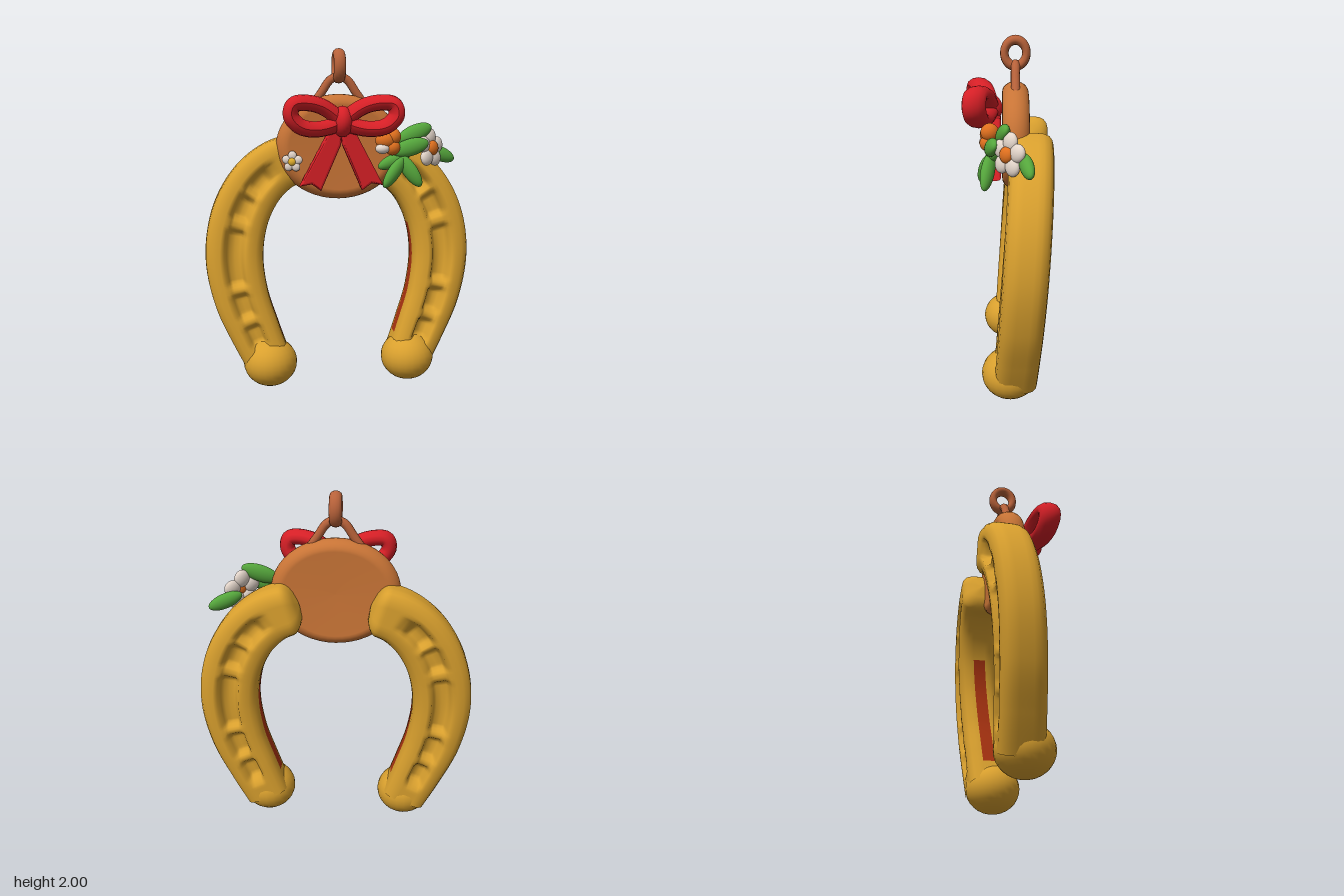
import * as THREE from 'three';

const mat = (name, color, side = THREE.FrontSide) => {
  const m = new THREE.MeshStandardMaterial({ color, side });
  m.name = name;
  return m;
};
const V = (x, y, z = 0) => new THREE.Vector3(x, y, z);

export function createModel() {
  const model = new THREE.Group();
  model.name = 'horseshoeOrnament';
  const gold = mat('gold', 0xd9a02e);
  const inlay = mat('inlayRed', 0xa83210);
  const copper = mat('copper', 0xc87436);
  const bronze = mat('bronze', 0xb8623a);
  const red = mat('ribbonRed', 0xd61f26);
  const green = mat('leafGreen', 0x55a63c);
  const white = mat('petalWhite', 0xe4d6cb);
  const orange = mat('orange', 0xe0701e);
  const yellow = mat('yellow', 0xe3b02c);

  const add = (name, geo, material, parent = model) => {
    const m = new THREE.Mesh(geo, material);
    m.name = name;
    parent.add(m);
    return m;
  };
  const ball = (name, pos, scale, material, parent = model) => {
    const m = add(name, new THREE.SphereGeometry(1, 24, 16), material, parent);
    m.position.copy(pos);
    m.scale.copy(scale);
    return m;
  };

  // Horseshoe arms: swept rounded section with a pitted groove front and back
  const path = new THREE.CatmullRomCurve3([
    V(0.42, 0.13), V(0.505, 0.33), V(0.585, 0.55), V(0.62, 0.8),
    V(0.582, 1.03), V(0.485, 1.21), V(0.36, 1.32), V(0.2, 1.38)]);
  const band = (y, a, b) => THREE.MathUtils.smoothstep(y, a - 0.02, a + 0.02)
    * (1 - THREE.MathUtils.smoothstep(y, b - 0.02, b + 0.02));
  const pits = [[0.27, 0.38], [0.44, 0.57], [0.63, 0.95], [1.02, 1.14], [1.18, 1.28]];
  const grooveDepth = y => 0.022 * band(y, 0.24, 1.31)
    + pits.reduce((d, [a, b]) => d + 0.045 * band(y, a, b), 0);
  // [across, depth, groove weight]
  const half = [[-1, 0.3, 0], [-0.98, 0.55, 0], [-0.89, 0.79, 0], [-0.72, 0.94, 0], [-0.5, 1, 0],
    [-0.36, 1, 0.05], [-0.27, 1, 0.6], [-0.18, 1, 1], [0, 1, 1]];
  const front = [...half, ...half.slice(0, -1).reverse().map(([u, v, g]) => [-u, v, g])];
  const section = [...front, ...front.map(([u, v, g]) => [-u, -v, g])];

  const armGeometry = side => {
    const rings = 110, n = section.length;
    const pos = [], body = [], strip = [];
    for (let i = 0; i <= rings; i++) {
      const t = i / rings, p = path.getPointAt(t), d = path.getTangentAt(t);
      const end = Math.sqrt(Math.max(0, 1 - Math.pow(Math.max(0, (t - 0.95) / 0.05), 2)));
      const w = (0.13 + 0.04 * Math.sin(Math.PI * Math.min(1, t * 0.9 + 0.02))) * end;
      const z = -0.03 - 0.07 * p.y, g0 = grooveDepth(p.y);
      for (const [u, v, g] of section) {
        pos.push(side * (p.x + d.y * u * w), p.y - d.x * u * w,
          z + Math.sign(v) * (Math.abs(v) * 0.12 - g * g0) * end);
      }
      if (i === rings) break;
      for (let j = 0; j < n; j++) {
        const a = i * n + j, b = i * n + (j + 1) % n, c = b + n, e = a + n;
        const list = j === n - 1 && p.y > 0.24 && p.y < 1.02 ? strip : body;
        list.push(...(side > 0 ? [a, b, c, a, c, e] : [a, c, b, a, e, c]));
      }
    }
    const geo = new THREE.BufferGeometry();
    geo.setAttribute('position', new THREE.Float32BufferAttribute(pos, 3));
    geo.setIndex([...body, ...strip]);
    geo.addGroup(0, body.length, 0);
    geo.addGroup(body.length, strip.length, 1);
    geo.computeVertexNormals();
    return geo;
  };
  for (const s of [1, -1]) {
    const label = s > 0 ? 'left' : 'right';
    add(label + 'Arm', armGeometry(s), [gold, inlay]);
    ball(label + 'ArmEnd', V(s * 0.42, 0.147, -0.01), V(0.16, 0.145, 0.16), gold);
  }

  // Oval medallion with a rounded rim
  const rim = [new THREE.Vector2(0, -0.066), new THREE.Vector2(0.24, -0.07)];
  for (let i = 0; i <= 12; i++) {
    const a = -Math.PI / 2 + Math.PI * i / 12;
    rim.push(new THREE.Vector2(0.295 + 0.073 * Math.cos(a), 0.075 * Math.sin(a)));
  }
  rim.push(new THREE.Vector2(0.24, 0.07), new THREE.Vector2(0, 0.066));
  const disc = new THREE.LatheGeometry(rim, 48);
  disc.rotateX(Math.PI / 2);
  disc.scale(1, 0.83, 1);
  add('medallion', disc, copper).position.set(0, 1.435, -0.042);

  // Hanger: bail on the medallion and a ring through it
  const bail = new THREE.CatmullRomCurve3([V(-0.15, 1.68), V(-0.1, 1.75), V(-0.05, 1.82),
    V(0, 1.84), V(0.05, 1.82), V(0.1, 1.75), V(0.15, 1.68)]);
  add('bail', new THREE.TubeGeometry(bail, 32, 0.025, 10), bronze).position.z = -0.042;
  const ring = new THREE.TorusGeometry(0.062, 0.024, 12, 32);
  ring.rotateY(Math.PI / 2);
  ring.scale(1.45, 1.16, 1);
  add('hangingRing', ring, bronze).position.set(0, 1.9, -0.042);

  // Bow: loops swept forward, knot and notched tails
  const bow = new THREE.Group();
  bow.name = 'bow';
  model.add(bow);
  for (const s of [1, -1]) {
    const label = s > 0 ? 'left' : 'right';
    const loop = new THREE.CatmullRomCurve3([V(0.02, 1.59), V(0.1, 1.665), V(0.2, 1.695), V(0.28, 1.685),
      V(0.295, 1.625), V(0.24, 1.565), V(0.13, 1.55)].map(p => V(p.x * s, p.y)), true);
    const geo = new THREE.TubeGeometry(loop, 56, 0.045, 12, true);
    const p = geo.attributes.position;
    for (let i = 0; i < p.count; i++) {
      p.setZ(i, p.getZ(i) * 1.45 + 0.11 + 0.25 * Math.abs(p.getX(i)));
    }
    geo.computeVertexNormals();
    add(label + 'Loop', geo, red, bow);

    const tail = new THREE.Shape([[0.01, 1.54], [0.06, 1.53], [0.225, 1.235], [0.17, 1.25],
      [0.125, 1.215], [0.02, 1.46]].map(([x, y]) => new THREE.Vector2(x * s, y)));
    const tailGeo = new THREE.ExtrudeGeometry(tail, { depth: 0.03, bevelEnabled: true,
      bevelThickness: 0.02, bevelSize: 0.016, bevelSegments: 3 });
    add(label + 'Tail', tailGeo, red, bow).position.z = 0.06;
  }
  ball('knot', V(0, 1.59, 0.12), V(0.06, 0.088, 0.09), red, bow);

  // Leaves: [base, tip, half width]
  const leaves = [
    [V(0.33, 1.47, 0.05), V(0.54, 1.555, 0.01), 0.05],
    [V(0.29, 1.41, 0.11), V(0.51, 1.465, 0.07), 0.05],
    [V(0.37, 1.39, 0.09), V(0.235, 1.215, 0.15), 0.045],
    [V(0.33, 1.4, 0.09), V(0.455, 1.215, 0.13), 0.045],
    [V(0.4, 1.4, 0.08), V(0.21, 1.325, 0.1), 0.04],
    [V(0.53, 1.42, -0.07), V(0.715, 1.345, -0.11), 0.045]];
  leaves.forEach(([a, b, w], i) => {
    const leaf = ball('leaf' + (i + 1), a.clone().lerp(b, 0.5), V(w, a.distanceTo(b) / 2, 0.034), green);
    leaf.quaternion.setFromUnitVectors(V(0, 1, 0), b.clone().sub(a).normalize());
  });

  // Flowers: five petals around a button, facing a given direction
  const flower = (name, at, facing, r, petalMat, heartMat) => {
    const g = new THREE.Group();
    g.name = name;
    for (let i = 0; i < 5; i++) {
      const a = i * Math.PI * 2 / 5 + 0.3;
      const petal = ball('petal', V(Math.cos(a) * r * 0.58, Math.sin(a) * r * 0.58, 0),
        V(r * 0.45, r * 0.42, r * 0.24), petalMat, g);
      petal.rotation.z = a;
    }
    ball('flowerHeart', V(0, 0, r * 0.14), V(r * 0.38, r * 0.38, r * 0.25), heartMat, g);
    g.position.copy(at);
    g.quaternion.setFromUnitVectors(V(0, 0, 1), facing.normalize());
    model.add(g);
  };
  flower('largeFlower', V(0.54, 1.425, 0.0), V(0.65, 0.12, 0.75), 0.115, white, orange);
  flower('smallFlower', V(-0.28, 1.36, 0.05), V(-0.3, 0, 1), 0.06, white, yellow);

  // Orange blossom beside the bow
  ball('blossomTop', V(0.295, 1.5, 0.1), V(0.045, 0.05, 0.05), orange);
  ball('blossomBody', V(0.25, 1.48, 0.11), V(0.06, 0.05, 0.045), orange);
  ball('blossomSide', V(0.29, 1.44, 0.11), V(0.045, 0.045, 0.045), orange);
  ball('blossomPetal', V(0.23, 1.435, 0.125), V(0.042, 0.03, 0.035), white);

  return model;
}
